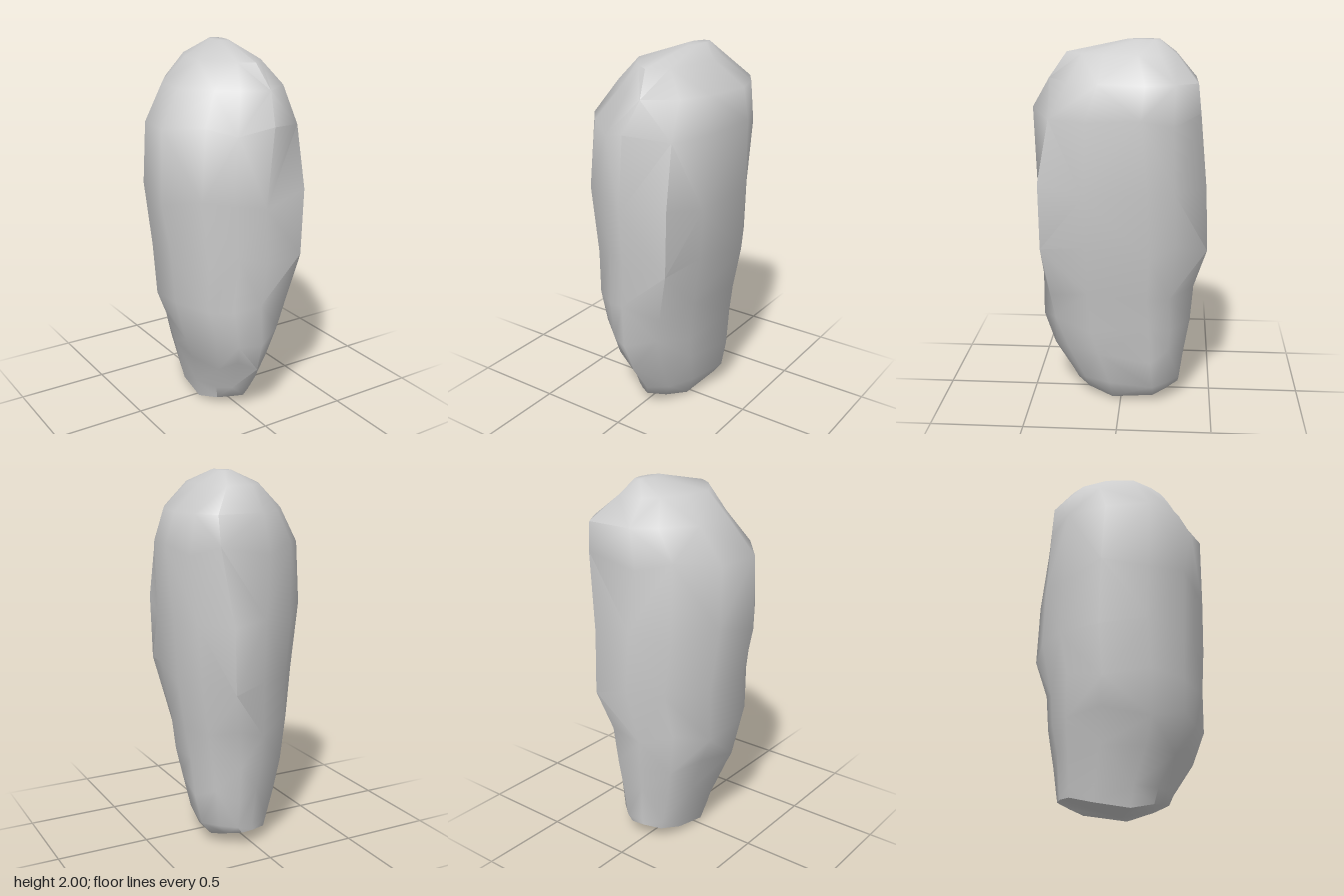
import * as THREE from 'three';
import { toCreasedNormals } from 'three/addons/utils/BufferGeometryUtils.js';

// Angular outlines (x, z), counter-clockwise from above, starting at the front.
// The foot is keeled at the front, the body has a broad front face, the shoulder is bevelled.
const FOOT = [
  [-0.01, 0.465], [0.185, 0.35], [0.315, 0.13], [0.405, -0.24], [0.275, -0.36], [0.12, -0.465],
  [-0.06, -0.445], [-0.28, -0.375], [-0.375, -0.18], [-0.405, 0.12], [-0.3, 0.32], [-0.16, 0.4],
];
const BODY = [
  [0.02, 0.465], [0.29, 0.425], [0.35, 0.18], [0.405, -0.16], [0.33, -0.3], [0.2, -0.465],
  [0.0, -0.43], [-0.2, -0.335], [-0.37, -0.14], [-0.405, 0.12], [-0.28, 0.32], [-0.13, 0.395],
];
const SHOULDER = [
  [0.05, 0.465], [0.25, 0.325], [0.345, 0.14], [0.405, -0.15], [0.35, -0.33], [0.26, -0.465],
  [-0.06, -0.455], [-0.22, -0.36], [-0.37, -0.15], [-0.405, 0.1], [-0.25, 0.28], [-0.12, 0.38],
];

// Extents per level: y, xMin, xMax, zMin, zMax
const LEVELS = [
  [0.0, -0.14, 0.19, -0.32, 0.25],
  [0.12, -0.165, 0.245, -0.325, 0.275],
  [0.3, -0.22, 0.28, -0.345, 0.38],
  [0.47, -0.28, 0.3, -0.38, 0.442],
  [0.66, -0.34, 0.325, -0.395, 0.442],
  [0.93, -0.355, 0.365, -0.462, 0.46],
  [1.25, -0.407, 0.385, -0.45, 0.463],
  [1.62, -0.4, 0.405, -0.412, 0.47],
  [1.8, -0.275, 0.365, -0.396, 0.375],
  [1.93, -0.15, 0.21, -0.285, 0.285],
  [2.0, 0.05, 0.13, -0.2, -0.03],
];

// Outline coordinate at a height, blended foot > body > shoulder
function outline(j, axis, y) {
  const { lerp, clamp } = THREE.MathUtils;
  const lower = lerp(FOOT[j][axis], BODY[j][axis], clamp((y - 0.3) / 0.6, 0, 1));
  return lerp(lower, SHOULDER[j][axis], clamp((y - 1.25) / 0.5, 0, 1));
}

function createStone() {
  const n = BODY.length;
  const pos = [];
  const index = [];
  const fit = (v, half, min, max) => min + ((v / half + 1) / 2) * (max - min);

  LEVELS.forEach(([y, x0, x1, z0, z1], i) => {
    for (let j = 0; j < n; j++) {
      const x = fit(outline(j, 0, y), 0.405, x0, x1);
      const z = fit(outline(j, 1, y), 0.465, z0, z1);
      // Keel-shaped base, and uneven edge heights further up
      const uneven = i > 1 && i < 8 ? 0.03 * Math.sin(j * 2.7 + i * 1.9) : 0;
      pos.push(x, y + (i === 0 ? Math.abs(z) * 0.26 : uneven), z);
      if (i === 0) continue;
      const a = (i - 1) * n + j, b = (i - 1) * n + (j + 1) % n;
      const c = b + n, d = a + n;
      if ((i + j) % 2) index.push(a, b, c, a, c, d);
      else index.push(a, b, d, b, c, d);
    }
  });

  // Close the base and the crest
  const base = pos.length / 3;
  pos.push(0.02, 0, 0, 0.09, 2, -0.11);
  const last = (LEVELS.length - 1) * n;
  for (let j = 0; j < n; j++) {
    const k = (j + 1) % n;
    index.push(base, k, j, base + 1, last + j, last + k);
  }

  const geometry = new THREE.BufferGeometry();
  geometry.setAttribute('position', new THREE.Float32BufferAttribute(pos, 3));
  geometry.setIndex(index);
  return toCreasedNormals(geometry, 1.1);
}

export function createModel() {
  const group = new THREE.Group();
  group.name = 'standingStone';
  const stone = new THREE.Mesh(createStone(), new THREE.MeshStandardMaterial({ color: 0xcccccc }));
  stone.name = 'boulder';
  group.add(stone);
  return group;
}
